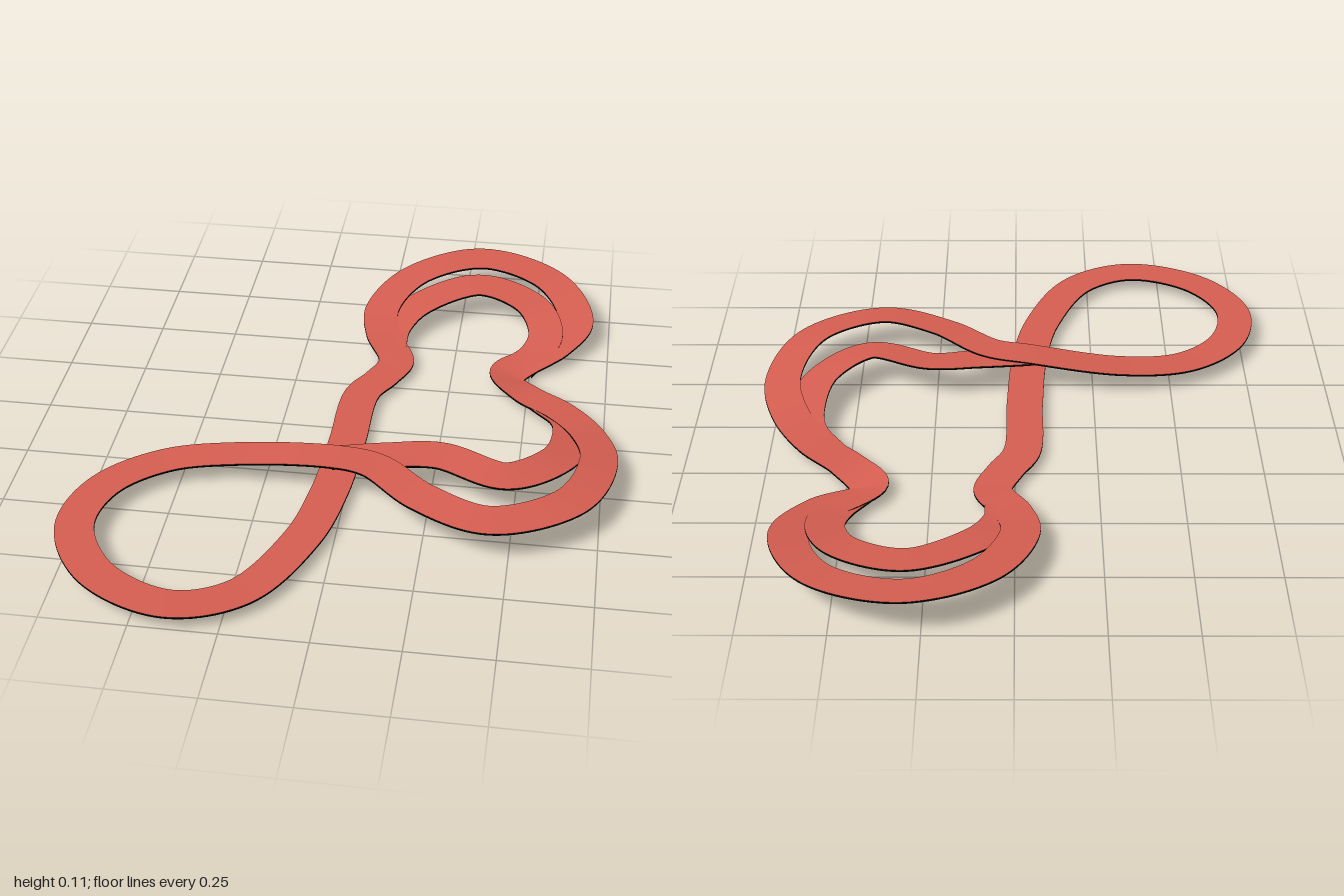
import * as THREE from 'three';

const HALF_WIDTH = 0.057, THICKNESS = 0.006;

// Centre line points: x, y, z
const mainLoop = [
  [-0.03, 0.024, 0.1], [-0.02, 0.025, -0.17], [0.03, 0.025, -0.27], [0.065, 0.027, -0.37],
  [0.005, 0.045, -0.5], [-0.015, 0.067, -0.63], [0.08, 0.092, -0.83], [0.3, 0.108, -0.943],
  [0.54, 0.092, -0.85], [0.638, 0.062, -0.63], [0.57, 0.04, -0.49], [0.43, 0.02, -0.35],
  [0.5, 0.024, -0.24], [0.61, 0.036, -0.14], [0.7, 0.055, 0], [0.738, 0.078, 0.17],
  [0.66, 0.097, 0.41], [0.44, 0.101, 0.53], [0.24, 0.101, 0.45], [0.08, 0.102, 0.315],
  [-0.04, 0.099, 0.285], [-0.34, 0.066, 0.265], [-0.55, 0.052, 0.31], [-0.7, 0.049, 0.45],
  [-0.738, 0.049, 0.65], [-0.62, 0.045, 0.85], [-0.4, 0.04, 0.94], [-0.22, 0.034, 0.86],
  [-0.09, 0.029, 0.6], [-0.045, 0.025, 0.36],
];
const northBranch = [
  [0.03, 0.037, -0.45], [0.035, 0.05, -0.54], [0.1, 0.072, -0.66], [0.3, 0.094, -0.787],
  [0.48, 0.08, -0.71], [0.54, 0.054, -0.58], [0.52, 0.037, -0.48], [0.46, 0.023, -0.39],
];
const southBranch = [
  [0.56, 0.03, -0.185], [0.635, 0.043, -0.08], [0.65, 0.057, 0.02], [0.615, 0.082, 0.18],
  [0.47, 0.099, 0.308], [0.27, 0.102, 0.237], [0.12, 0.101, 0.253], [-0.05, 0.096, 0.283],
];

// Rise of the right-hand edge: mild in the curves, strong at the narrow dip
function bankAt(x, z) {
  const { clamp } = THREE.MathUtils;
  const curve = 0.006 * clamp(x * 4, 0, 1) * clamp(z * 3 + 1, -1, 1);
  return curve + 0.014 * Math.exp(-((x - 0.43) ** 2 + (z + 0.35) ** 2) / 0.012);
}

// Sweeps a cross-section line of (across, down) points along the path
function sweep(path, profile, steps) {
  const pos = [], index = [], n = profile.length;
  for (let i = 0; i <= steps; i++) {
    const c = path.getPoint(i / steps), bank = bankAt(c.x, c.z);
    const dir = path.getTangent(i / steps).setY(0).normalize();
    for (const [across, down] of profile) {
      const s = across * HALF_WIDTH;
      pos.push(c.x - dir.z * s, c.y + bank * across - down * THICKNESS, c.z + dir.x * s);
    }
    if (i === steps) break;
    for (let j = 0; j < n - 1; j++) {
      const a = i * n + j;
      index.push(a, a + 1, a + n + 1, a, a + n + 1, a + n);
    }
  }
  const geo = new THREE.BufferGeometry();
  geo.setAttribute('position', new THREE.Float32BufferAttribute(pos, 3));
  geo.setIndex(index);
  geo.computeVertexNormals();
  return geo;
}

export function createModel() {
  const model = new THREE.Group();
  model.name = 'raceTrack';
  const red = new THREE.MeshStandardMaterial({ color: 0xd45d50 });
  const black = new THREE.MeshStandardMaterial({ color: 0x050505 });

  function addRoad(name, points, closed, drop) {
    const path = new THREE.CatmullRomCurve3(points.map(([x, y, z]) => new THREE.Vector3(x, y - drop, z)), closed);
    const steps = points.length * 12;
    const road = new THREE.Group();
    road.name = name;
    const surface = new THREE.Mesh(sweep(path, [[-1, 0], [1, 0]], steps), red);
    surface.name = 'roadSurface';
    // Underside with its two thin side walls
    const under = new THREE.Mesh(sweep(path, [[1, 0], [1, 1], [-1, 1], [-1, 0]], steps), black);
    under.name = 'roadUnderside';
    road.add(surface, under);
    model.add(road);
  }

  addRoad('mainLoop', mainLoop, true, 0);
  // Branches sit a hair lower where they join the main loop
  addRoad('northBranch', northBranch, false, 0.002);
  addRoad('southBranch', southBranch, false, 0.002);
  return model;
}
